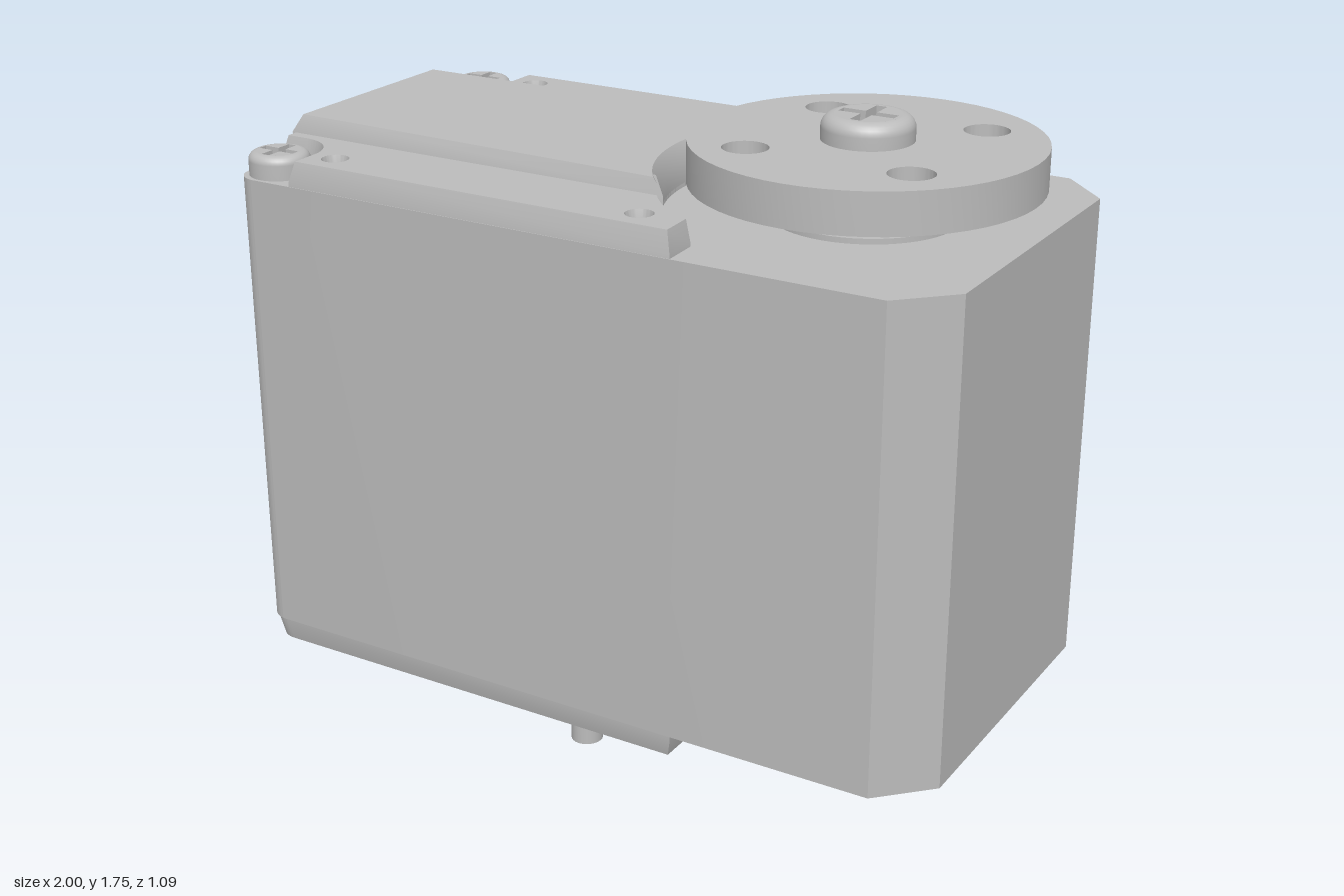
import * as THREE from 'three';
import { toCreasedNormals } from 'three/addons/utils/BufferGeometryUtils.js';

export function createModel() {
  const model = new THREE.Group();
  const grey = new THREE.MeshStandardMaterial({ color: 0xbcbcbc });
  grey.name = 'casing grey';

  const add = (name, geometry, parent = model) => {
    const mesh = new THREE.Mesh(geometry, grey);
    mesh.name = name;
    parent.add(mesh);
    return mesh;
  };

  // Horizontal plate from an outline in plan, optionally with chamfered rims
  const plate = (shape, y0, y1, size = 0, height = 0) => {
    const g = new THREE.ExtrudeGeometry(shape, {
      depth: y1 - y0 - 2 * height, curveSegments: 28,
      bevelEnabled: size > 0, bevelSize: size, bevelOffset: -size,
      bevelThickness: height, bevelSegments: 1,
    });
    g.rotateX(-Math.PI / 2).translate(0, y0 + height, 0);
    return toCreasedNormals(g, 0.5);
  };
  const disc = (r, x = 0, z = 0) => new THREE.Shape().absarc(x, z, r, 0, Math.PI * 2);
  const punch = (shape, r, points) => {
    for (const [x, z] of points) shape.holes.push(new THREE.Path().absarc(x, z, r, 0, Math.PI * 2, true));
    return shape;
  };
  const both = (x, z) => [[x, z], [x, -z]];
  const AX = 0.55; // output shaft axis

  // Main case: chamfered at the shaft end, rounded at the other
  const caseShape = new THREE.Shape();
  caseShape.moveTo(-0.93, -0.545);
  caseShape.lineTo(0.87, -0.545);
  caseShape.lineTo(1, -0.415);
  caseShape.lineTo(1, 0.415);
  caseShape.lineTo(0.87, 0.545);
  caseShape.lineTo(-0.93, 0.545);
  caseShape.absarc(-0.93, 0.475, 0.07, Math.PI / 2, Math.PI);
  caseShape.absarc(-0.93, -0.475, 0.07, Math.PI, Math.PI * 1.5);
  add('case', plate(caseShape, 0.222, 1.492));

  // Top cover with screw pockets, curved cut around the shaft and rivet holes
  const a = Math.atan2(0.439, -0.24);
  const cover = new THREE.Shape();
  cover.moveTo(-0.992, -0.355);
  cover.lineTo(-0.915, -0.355);
  cover.absarc(-0.915, -0.455, 0.1, Math.PI / 2, 0, true);
  cover.lineTo(-0.815, -0.543);
  cover.lineTo(0.315, -0.543);
  cover.lineTo(0.31, -0.439);
  cover.absarc(AX, 0, 0.5, -a, a - Math.PI * 2, true);
  cover.lineTo(0.315, 0.543);
  cover.lineTo(-0.815, 0.543);
  cover.lineTo(-0.815, 0.455);
  cover.absarc(-0.915, 0.455, 0.1, 0, -Math.PI / 2, true);
  cover.lineTo(-0.992, 0.355);
  punch(cover, 0.022, [...both(-0.73, 0.455), ...both(0.18, 0.455)]);
  add('topCover', plate(cover, 1.38, 1.557, 0.014, 0.055));

  // Raised centre of the cover
  const b = Math.PI - Math.asin(0.31 / 0.5);
  const ridge = new THREE.Shape();
  ridge.moveTo(-0.99, -0.31);
  ridge.lineTo(AX + 0.5 * Math.cos(b), -0.31);
  ridge.absarc(AX, 0, 0.5, -b, b - Math.PI * 2, true);
  ridge.lineTo(-0.99, 0.31);
  add('raisedCover', plate(ridge, 1.4, 1.603, 0.022, 0.045));

  // Bottom cover with lobes at the open end
  const base = new THREE.Shape();
  base.moveTo(-0.92, -0.543);
  for (const [x, z] of [[0.315, -0.543], [0.315, -0.42], [0.25, -0.355], [0.1, -0.355], [0.03, -0.42],
    [-0.18, -0.42], [-0.18, 0.42], [0.03, 0.42], [0.1, 0.355], [0.25, 0.355], [0.315, 0.42],
    [0.315, 0.543], [-0.92, 0.543]]) base.lineTo(x, z);
  base.absarc(-0.92, 0.467, 0.076, Math.PI / 2, Math.PI);
  base.absarc(-0.92, -0.467, 0.076, Math.PI, Math.PI * 1.5);
  punch(base, 0.022, [...both(-0.92, 0.46), ...both(0.19, 0.455)]);
  add('bottomCover', plate(base, 0.158, 0.35, 0.014, 0.055));

  // Sloped block under the bottom cover
  const block = new THREE.Shape([[-0.77, 0.2], [-0.77, 0.08], [-0.32, 0.08], [-0.18, 0.16], [-0.18, 0.2]]
    .map(([x, y]) => new THREE.Vector2(x, y)));
  add('bottomBlock', new THREE.ExtrudeGeometry(block, { depth: 0.8, bevelEnabled: false }).translate(0, 0, -0.4));

  // Connector pins
  for (const z of [0.12, 0.23, 0.335]) {
    for (const s of [-1, 1]) {
      add('pin', new THREE.CylinderGeometry(0.043, 0.043, 0.24, 24)).position.set(-0.07, 0.12, s * z);
    }
  }

  // Hollow boss below the shaft
  add('bottomBoss', plate(punch(disc(0.131, AX), 0.052, [[AX, 0]]), 0.052, 0.23));

  // Output shaft and drilled round horn
  add('shaftCollar', plate(disc(0.195, AX), 1.505, 1.58));
  add('shaftBase', plate(disc(0.24, AX), 1.48, 1.506));
  const horn = punch(disc(0.44, AX), 0.058, [...both(AX - 0.218, 0.218), ...both(AX + 0.218, 0.218)]);
  add('horn', plate(horn, 1.575, 1.682));

  // Pan head screw with a cross recess
  const screw = (name, x, y, z, r, h, arm, w) => {
    const group = new THREE.Group();
    group.name = name;
    group.position.set(x, y, z);
    model.add(group);
    const inner = r * 0.72, round = r - inner, points = [new THREE.Vector2(r, 0)];
    for (let i = 0; i <= 6; i++) {
      const t = (i / 6) * Math.PI / 2;
      points.push(new THREE.Vector2(inner + round * Math.cos(t), h - round * (1 - Math.sin(t))));
    }
    add('screwRim', new THREE.LatheGeometry(points, 40), group);
    const face = disc(inner);
    face.holes.push(new THREE.Path([[w, w], [w, arm], [-w, arm], [-w, w], [-arm, w], [-arm, -w], [-w, -w],
      [-w, -arm], [w, -arm], [w, -w], [arm, -w], [arm, w]].map(([px, pz]) => new THREE.Vector2(px, pz))));
    add('screwFace', plate(face, h * 0.4, h), group);
    add('recessFloor', plate(disc(inner), 0, h * 0.4), group);
  };
  screw('hornScrew', AX, 1.68, 0, 0.116, 0.066, 0.074, 0.015);
  for (const s of [-1, 1]) screw('coverScrew', -0.915, 1.49, s * 0.455, 0.08, 0.064, 0.054, 0.012);

  return model;
}
